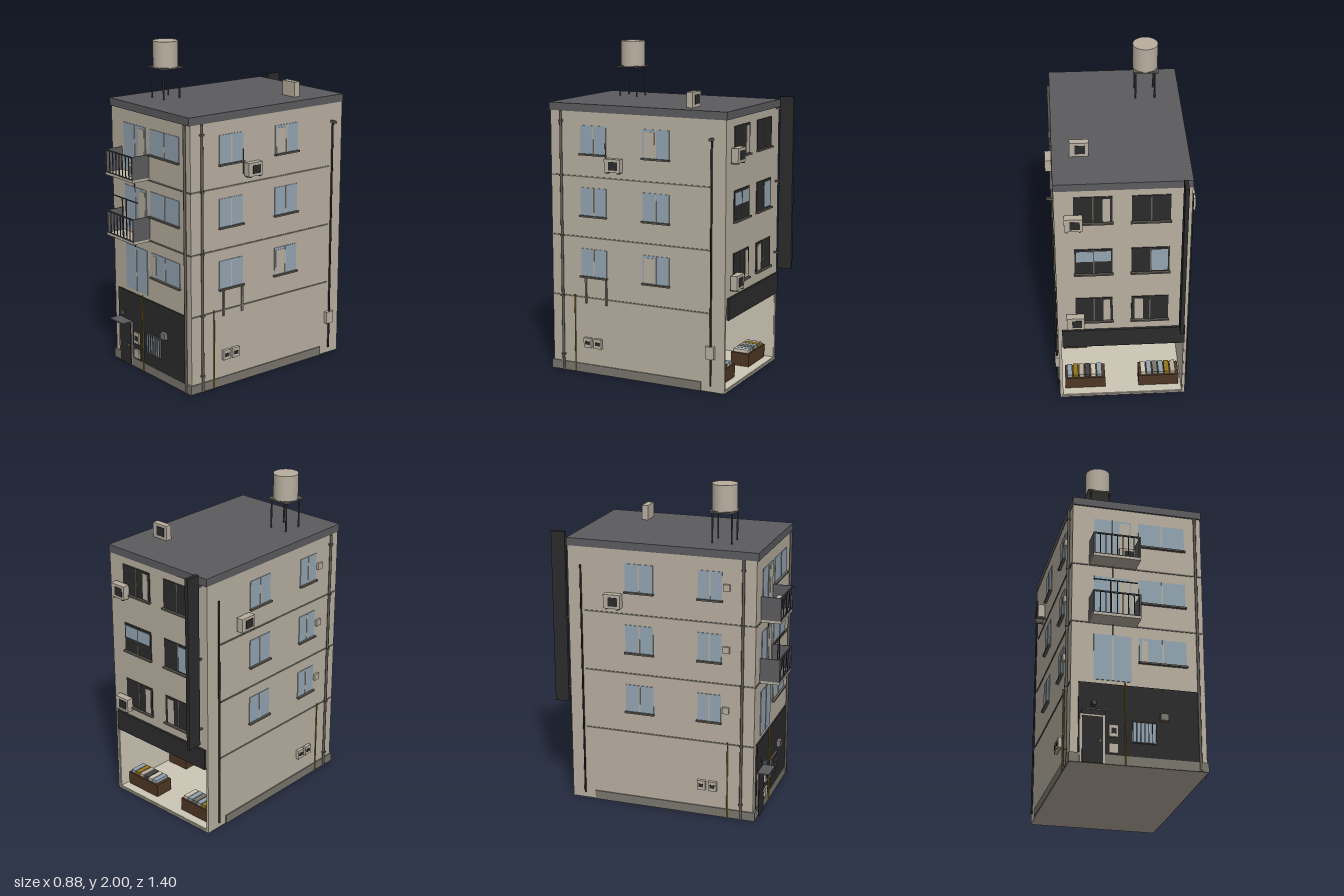
import * as THREE from 'three';

const mat = (name, color) => Object.assign(new THREE.MeshStandardMaterial({ color }), { name });
const WALL = mat('plaster', 0xb8afa0), INNER = mat('shopLining', 0xcdc6b6), ROOF = mat('slate', 0x5c5c5f),
  BLACK = mat('black', 0x2b2b2b), GLASS = mat('glass', 0x93a5b2), BASE = mat('baseGrey', 0x7a766d),
  PIPE = mat('pipeGrey', 0x615d56), WOOD = mat('wood', 0x4d3624), YELLOW = mat('yellow', 0x94761c),
  METAL = mat('metal', 0x43454a);

// Box given by its limits on each axis
function box(parent, name, m, x0, x1, y0, y1, z0, z1) {
  const mesh = new THREE.Mesh(new THREE.BoxGeometry(x1 - x0, y1 - y0, z1 - z0), m);
  mesh.position.set((x0 + x1) / 2, (y0 + y1) / 2, (z0 + z1) / 2);
  mesh.name = name;
  parent.add(mesh);
  return mesh;
}

function rod(parent, name, m, r, x, y0, y1, z, sides = 10) {
  const mesh = new THREE.Mesh(new THREE.CylinderGeometry(r, r, y1 - y0, sides), m);
  mesh.position.set(x, (y0 + y1) / 2, z);
  mesh.name = name;
  parent.add(mesh);
  return mesh;
}

// Group whose local +z points out of one wall, with z = 0 on the wall
function face(root, name, x, z, turn) {
  const g = new THREE.Group();
  g.name = name;
  g.position.set(x, 0, z);
  g.rotation.y = turn;
  root.add(g);
  return g;
}

// Window plate with middle bar, optional sill and curtain strip
function makeWindow(g, u0, u1, y0, y1, m, sill = true, curtain = null) {
  const mid = (u0 + u1) / 2;
  box(g, 'windowPane', m, u0, u1, y0, y1, 0, 0.004);
  box(g, 'windowBar', m === GLASS ? WALL : PIPE, mid - 0.004, mid + 0.004, y0, y1, 0.002, 0.007);
  if (sill) box(g, 'windowSill', PIPE, u0 - 0.005, u1 + 0.005, y0 - 0.01, y0, 0, 0.018);
  if (curtain) box(g, 'curtain', WALL, curtain[0], curtain[1], y0 + 0.005, y1 - 0.015, 0.002, 0.006);
}

// Air conditioner with dark fan opening and brackets
function makeAirUnit(g, u0, u1, y0, y1, d0, d1) {
  const w = u1 - u0, h = y1 - y0;
  box(g, 'airUnit', WALL, u0, u1, y0, y1, d0, d1);
  box(g, 'airUnitFan', BLACK, u0 + w * 0.3, u1 - w * 0.15, y0 + h * 0.18, y1 - h * 0.2, d1, d1 + 0.003);
  for (const u of [u0 + w * 0.15, u1 - w * 0.15])
    box(g, 'airUnitBracket', PIPE, u - 0.004, u + 0.004, y0 - 0.008, y0, 0, d1);
}

function makeMeter(g, u, y0, y1, dark = true) {
  box(g, 'meterBox', WALL, u - 0.026, u + 0.026, y0, y1, 0, 0.02);
  if (dark) box(g, 'meterDial', BLACK, u - 0.014, u + 0.014, y0 + 0.02, y1 - 0.02, 0.02, 0.023);
}

function makeBalcony(g, y) {
  const b = new THREE.Group();
  b.name = 'balcony';
  b.position.y = y;
  g.add(b);
  box(b, 'balconyFloor', WALL, -0.29, -0.01, 0, 0.015, 0, 0.12);
  for (const x of [-0.29, -0.016]) box(b, 'balconySide', ROOF, x, x + 0.006, 0.015, 0.155, 0, 0.12);
  box(b, 'topRail', METAL, -0.29, -0.01, 0.147, 0.155, 0.112, 0.12);
  box(b, 'bottomRail', METAL, -0.29, -0.01, 0.015, 0.021, 0.113, 0.119);
  for (let i = 0; i <= 8; i++) {
    const x = -0.282 + i * 0.033;
    box(b, 'railBar', METAL, x - 0.0025, x + 0.0025, 0.015, 0.15, 0.113, 0.118);
  }
}

function makeCrate(root, x, z, w, d, h) {
  box(root, 'crate', WOOD, x - w / 2, x + w / 2, 0.004, h, z - d / 2, z + d / 2);
}

export function createModel() {
  const root = new THREE.Group();
  root.name = 'building';

  // Body: solid upper floors over a hollow shop open at the back
  box(root, 'upperFloors', WALL, -0.39, 0.39, 0.475, 1.61, -0.58, 0.58);
  box(root, 'groundSlab', WALL, -0.39, 0.39, 0, 0.012, -0.58, 0.58);
  box(root, 'shopFloor', INNER, -0.37, 0.37, 0.012, 0.018, -0.575, 0.56);
  box(root, 'frontWall', WALL, -0.39, 0.39, 0.012, 0.475, 0.56, 0.58);
  box(root, 'shopEndLining', INNER, -0.37, 0.37, 0.018, 0.475, 0.555, 0.56);
  for (const s of [-1, 1]) {
    const wall = box(root, 'sideWall', WALL, 0.375, 0.39, 0.012, 0.475, -0.58, 0.56);
    const lining = box(root, 'sideLining', INNER, 0.37, 0.375, 0.018, 0.475, -0.575, 0.555);
    wall.position.x *= s;
    lining.position.x *= s;
  }
  box(root, 'shopBeam', WALL, -0.37, 0.37, 0.45, 0.475, -0.44, -0.41);
  box(root, 'roofSlab', ROOF, -0.392, 0.392, 1.61, 1.657, -0.585, 0.59);

  // Shop goods
  const goods = [GLASS, INNER, METAL, WALL, YELLOW, GLASS, BASE];
  [0.23, -0.23].forEach((x, k) => {
    makeCrate(root, x, -0.46, 0.25, 0.12, 0.1);
    for (let i = 0; i < 6; i++) {
      const u = x - 0.105 + i * 0.037;
      box(root, 'goods', goods[(i + k * 3) % 7], u, u + 0.031, 0.1, 0.12, -0.51, -0.41);
    }
  });
  makeCrate(root, 0.28, -0.09, 0.15, 0.14, 0.105);
  box(root, 'cashRegister', METAL, 0.25, 0.31, 0.105, 0.14, -0.12, -0.07);
  makeCrate(root, 0.22, 0.49, 0.2, 0.1, 0.1);

  // Front wall
  const front = face(root, 'front', 0, 0.58, 0);
  box(front, 'frontBase', BASE, -0.395, 0.395, 0, 0.055, 0, 0.012);
  box(front, 'groundCladding', BLACK, -0.345, 0.345, 0.055, 0.475, 0, 0.009);
  [[0.88, 1.15], [1.25, 1.53], [0.5, 0.78]].forEach(([a, b], i) =>
    makeWindow(front, -0.26, -0.04, a, b, GLASS, false, i < 2 ? [-0.11, -0.05] : null));
  for (const y of [0.63, 1.005, 1.38])
    makeWindow(front, 0.005, 0.285, y, y + 0.15, GLASS, true, y < 0.7 ? [0.02, 0.055] : null);
  makeBalcony(front, 0.845);
  makeBalcony(front, 1.22);
  makeAirUnit(front, -0.125, -0.03, 1.238, 1.315, 0.035, 0.07);
  box(front, 'dryingPole', METAL, -0.28, -0.02, 1.088, 1.094, 0.075, 0.08);
  for (const x of [-0.18, -0.14]) box(front, 'poleStand', METAL, x - 0.003, x + 0.003, 0.86, 1.09, 0.075, 0.08);
  for (const y of [0.78, 1.15]) rod(front, 'balconyDrain', METAL, 0.003, -0.15, y, y + 0.08, 0.01, 6);
  rod(front, 'downpipe', PIPE, 0.008, 0.35, 0, 1.61, 0.012);

  // Entrance with canopy and lamp
  box(front, 'doorFrame', WALL, -0.338, -0.196, 0, 0.285, 0, 0.014);
  box(front, 'door', BLACK, -0.325, -0.208, 0, 0.272, 0.01, 0.018);
  box(front, 'doorHandle', WALL, -0.23, -0.222, 0.12, 0.135, 0.018, 0.026);
  box(front, 'canopy', ROOF, -0.335, -0.2, 0.283, 0.291, 0, 0.082);
  box(front, 'lampArm', METAL, -0.27, -0.262, 0.34, 0.346, 0, 0.05);
  box(front, 'lamp', METAL, -0.278, -0.254, 0.325, 0.352, 0.025, 0.055);
  makeMeter(front, -0.148, 0.16, 0.23);
  makeMeter(front, -0.148, 0.065, 0.12, false);
  rod(front, 'gasPipe', YELLOW, 0.004, -0.08, 0, 0.49, 0.014, 8);
  box(front, 'groundWindow', GLASS, -0.04, 0.097, 0.138, 0.26, 0.007, 0.013);
  for (let i = 0; i < 7; i++) {
    const x = -0.038 + i * 0.0222;
    box(front, 'windowGrille', i % 6 ? METAL : PIPE, x - 0.002, x + 0.002, 0.135, 0.262, 0.018, 0.022);
  }
  for (const y of [0.135, 0.258]) box(front, 'grilleRail', PIPE, -0.042, 0.099, y, y + 0.005, 0.01, 0.022);
  box(front, 'ventHood', BASE, 0.12, 0.165, 0.278, 0.318, 0, 0.032);

  // Both side walls; k mirrors the local horizontal axis
  for (const s of [1, -1]) {
    const side = face(root, s > 0 ? 'leftSide' : 'rightSide', s * 0.39, 0, s * Math.PI / 2);
    const span = (a, b) => (s > 0 ? [-b, -a] : [a, b]);
    box(side, 'sideBase', BASE, ...span(-0.43, 0.59), 0, 0.055, 0, 0.007);
    for (const y of [0.61, 0.985, 1.36]) {
      makeWindow(side, ...span(0.2 + (s < 0 ? 0.03 : 0), 0.375), y, y + 0.17, GLASS);
      makeWindow(side, ...span(-0.22, -0.045), y, y + 0.17, GLASS, true,
        y !== 0.985 && s > 0 ? span(-0.125, -0.055) : null);
      if (s < 0) box(side, 'sideVent', WALL, ...span(0.385, 0.425), y + 0.06, y + 0.1, 0, 0.015);
    }
    for (const y of [0.475, 0.85, 1.22]) box(side, 'floorJoint', BASE, ...span(-0.48, 0.58), y - 0.004, y + 0.004, 0, 0.005);
    const at = (z) => -s * z;
    rod(side, 'cornerDownpipe', PIPE, 0.008, at(0.505), 0, 1.61, 0.01);
    for (const y of [0.1, 0.475, 0.85, 1.22, 1.55])
      box(side, 'pipeClamp', PIPE, at(0.505) - 0.011, at(0.505) + 0.011, y - 0.005, y + 0.005, 0, 0.02);
    rod(side, 'cablePipe', BLACK, 0.006, at(-0.495), 0.04, 1.5, 0.012, 8);
    rod(side, 'gasPipe', YELLOW, 0.004, at(0.42), 0, 0.49, 0.008, 8);
    for (const z of [0.33, 0.26]) makeMeter(side, at(z), 0.165, 0.225);
    if (s > 0) {
      makeAirUnit(side, ...span(0.085, 0.19), 1.265, 1.345, 0.006, 0.045);
      rod(side, 'airHose', PIPE, 0.003, at(0.2), 1.28, 1.43, 0.008, 6);
      box(side, 'junctionBox', WALL, ...span(-0.52, -0.465), 0.205, 0.28, 0, 0.024);
      box(side, 'cableArm', PIPE, ...span(-0.503, -0.488), 1.49, 1.505, 0, 0.04);
      for (const z of [0.205, 0.345]) box(side, 'sillLeg', BASE, ...span(z - 0.006, z + 0.006), 0.44, 0.6, 0, 0.008);
    } else makeAirUnit(side, ...span(-0.34, -0.235), 1.26, 1.345, 0.006, 0.05);
  }
  for (const y of [0.85, 1.22]) box(front, 'floorJoint', BASE, -0.39, 0.39, y - 0.004, y + 0.004, 0, 0.005);

  // Back wall: dark windows, air units and boards
  const back = face(root, 'back', 0, -0.58, Math.PI);
  [0.64, 1.01, 1.385].forEach((y, i) => {
    makeWindow(back, -0.28, -0.06, y, y + 0.18, BLACK, true, i !== 1 ? [-0.115, -0.075] : null);
    makeWindow(back, 0.05, 0.27, y, y + 0.18, BLACK, true, i === 0 ? [0.07, 0.12] : null);
    if (i === 1) {
      box(back, 'litPane', GLASS, -0.27, -0.07, y + 0.09, y + 0.165, 0.002, 0.006);
      box(back, 'litPane', GLASS, 0.165, 0.26, y + 0.01, y + 0.165, 0.002, 0.006);
    } else makeAirUnit(back, -0.335, -0.23, y - 0.025, y + 0.06, 0.008, 0.05);
  });
  box(back, 'shopBoard', BLACK, -0.365, 0.375, 0.44, 0.57, 0, 0.014);
  box(back, 'tallBoard', BLACK, 0.334, 0.357, 0.61, 1.68, 0.03, 0.118);
  for (const y of [0.7, 1.15, 1.6]) box(back, 'boardBracket', PIPE, 0.34, 0.35, y, y + 0.01, 0, 0.03);

  // Roof: water tank on a stand, and a cooling unit
  rod(root, 'waterTank', WALL, 0.075, -0.185, 1.845, 2, 0.325, 32);
  box(root, 'tankPlatform', PIPE, -0.26, -0.11, 1.837, 1.846, 0.25, 0.4);
  for (const x of [-0.24, -0.125]) for (const z of [0.268, 0.385]) rod(root, 'tankLeg', METAL, 0.005, x, 1.657, 1.84, z, 8);
  box(root, 'roofUnit', WALL, 0.18, 0.29, 1.657, 1.747, -0.32, -0.28);
  box(root, 'roofUnitFan', BLACK, 0.2, 0.26, 1.675, 1.73, -0.323, -0.32);
  return root;
}
